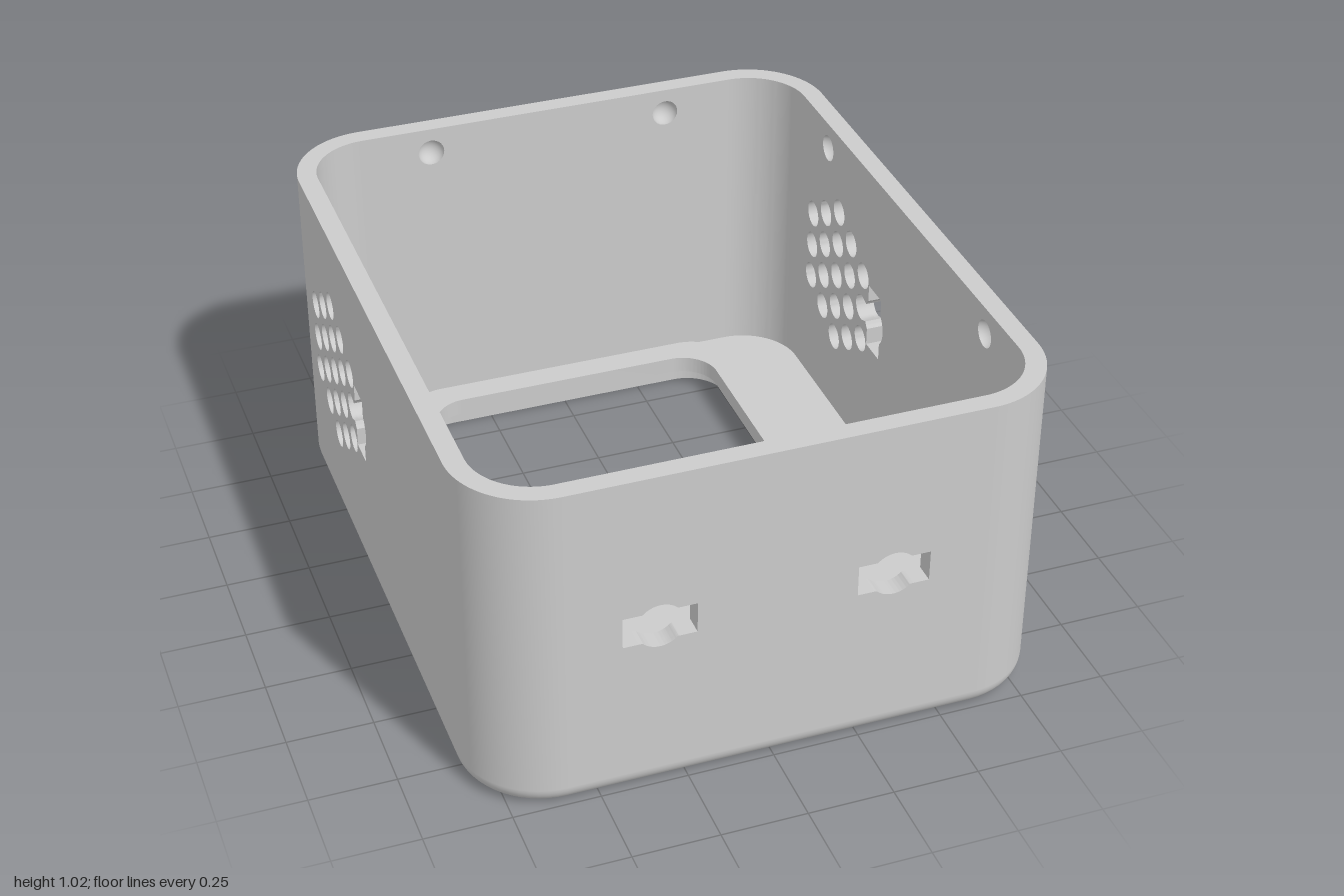
import * as THREE from 'three';
import { toCreasedNormals } from 'three/addons/utils/BufferGeometryUtils.js';

const HX = 0.833, HZ = 1, H = 1.02;   // half width, half length, height
const T = 0.058, R = 0.24;            // wall thickness, outer corner radius
const DIMPLE = 0.041, SKIN = 0.015;   // dimple radius, wall left behind it
const DIMPLE_Y = 0.94, PORT_Y = 0.542; // heights of the dimples and side openings

const mat = new THREE.MeshStandardMaterial({ color: 0xcccccc });
const inside = new THREE.MeshStandardMaterial({ color: 0xcccccc, side: THREE.BackSide });

function add(parent, name, geo, material = mat) {
  const mesh = new THREE.Mesh(geo, material);
  mesh.name = name;
  parent.add(mesh);
}

function extrude(shape, depth) {
  const geo = new THREE.ExtrudeGeometry(shape, { depth, bevelEnabled: false, curveSegments: 14 });
  return toCreasedNormals(geo, 0.6);
}

// Horizontal slab: shape x, y become world x, z
const slab = (shape, y0, y1) => extrude(shape, y1 - y0).rotateX(Math.PI / 2).translate(0, y1, 0);

function rounded(x0, y0, x1, y1, r) {
  const s = new THREE.Shape();
  s.absarc(x1 - r, y1 - r, r, 0, Math.PI / 2);
  s.absarc(x0 + r, y1 - r, r, Math.PI / 2, Math.PI);
  s.absarc(x0 + r, y0 + r, r, Math.PI, Math.PI * 1.5);
  s.absarc(x1 - r, y0 + r, r, Math.PI * 1.5, Math.PI * 2);
  s.closePath();
  return s;
}

function rect(x0, y0, x1, y1) {
  return new THREE.Shape([[x0, y0], [x1, y0], [x1, y1], [x0, y1]].map(p => new THREE.Vector2(...p)));
}

function circle(x, y, r) {
  const s = new THREE.Shape();
  s.absarc(x, y, r, 0, Math.PI * 2);
  return s;
}

// Rectangle joined with a round bulge, and optionally a small hole beside it
function socket(cx, cy, hw, hh, side = 0) {
  const pts = [], n = 144, d = 0.093, r = 0.042;
  const angles = Array.from({ length: n }, (_, i) => (i / n) * Math.PI * 2);
  const c = Math.atan2(hh, hw);
  angles.push(c, Math.PI - c, Math.PI + c, Math.PI * 2 - c);
  angles.sort((a, b) => a - b);
  for (const a of angles) {
    const ca = Math.cos(a), sa = Math.sin(a);
    let len = Math.max(0.068, Math.min(hw / Math.max(Math.abs(ca), 1e-6), hh / Math.max(Math.abs(sa), 1e-6)));
    const along = d * side * ca, disc = r * r - d * d * sa * sa;
    if (side && along > 0 && disc > 0) len = Math.max(len, along + Math.sqrt(disc));
    pts.push(new THREE.Vector2(cx + ca * len, cy + sa * len));
  }
  return new THREE.Shape(pts);
}

// Hexagonal speaker grille plus the socket that merges with its middle edge hole
function grille(side) {
  const holes = [socket(side * 0.165, PORT_Y, 0.046, 0.105, side)];
  for (let col = -2; col <= 2; col++) {
    const n = 5 - Math.abs(col);
    for (let i = 0; i < n; i++) {
      if (col === -2 && i === 1) continue;
      holes.push(circle(side * (0.457 + col * 0.0995), PORT_Y + (i - (n - 1) / 2) * 0.113, 0.0415));
    }
  }
  return holes;
}

// Flat wall: outer skin and inner layer, the inner one with blind round dimples
function wall(name, half, dist, dimpleX, holes, angle) {
  const g = new THREE.Group();
  g.name = name;
  const dimples = [-dimpleX, dimpleX];
  const outer = rect(-half, T, half, H), inner = rect(-half, T, half, H);
  outer.holes.push(...holes);
  inner.holes.push(...holes, ...dimples.map(x => circle(x, DIMPLE_Y, DIMPLE)));
  add(g, 'outerSkin', extrude(outer, SKIN).translate(0, 0, dist - SKIN));
  add(g, 'innerLayer', extrude(inner, T - SKIN).translate(0, 0, dist - T));
  for (const x of dimples) {
    const bowl = new THREE.SphereGeometry(DIMPLE, 20, 8, 0, Math.PI * 2, 0, Math.PI / 2);
    add(g, 'dimple', bowl.rotateX(Math.PI / 2).translate(x, DIMPLE_Y, dist - T), inside);
  }
  g.rotation.y = angle;
  return g;
}

// Rounded lower edge: a quarter circle carried round the outline
function bottomEdge() {
  const pos = [], nor = [], idx = [], A = 14, B = 8;
  for (let q = 0; q < 4; q++) for (let i = 0; i <= A; i++) {
    const a = (q + i / A) * Math.PI / 2, ca = Math.cos(a), sa = Math.sin(a);
    const cx = (q === 0 || q === 3 ? 1 : -1) * (HX - R), cz = (q < 2 ? 1 : -1) * (HZ - R);
    for (let j = 0; j <= B; j++) {
      const p = (j / B) * Math.PI / 2, rad = R - T + T * Math.cos(p);
      pos.push(cx + ca * rad, T - T * Math.sin(p), cz + sa * rad);
      nor.push(ca * Math.cos(p), -Math.sin(p), sa * Math.cos(p));
    }
  }
  const rows = 4 * (A + 1), w = B + 1;
  for (let i = 0; i < rows; i++) for (let j = 0; j < B; j++) {
    const a = i * w + j, b = ((i + 1) % rows) * w + j;
    idx.push(a, b, a + 1, b, b + 1, a + 1);
  }
  const geo = new THREE.BufferGeometry();
  geo.setAttribute('position', new THREE.Float32BufferAttribute(pos, 3));
  geo.setAttribute('normal', new THREE.Float32BufferAttribute(nor, 3));
  geo.setIndex(idx);
  return geo;
}

export function createModel() {
  const model = new THREE.Group();
  model.name = 'enclosure';

  // Window outline, grown outwards by g
  const windowShape = g => rounded(-0.468 - g, -0.802 - g, 0.468 + g, -0.074 + g, 0.115 + g * 0.4);

  // Floor with window recess, slots and screw holes
  const floor = rounded(-HX + T, -HZ + T, HX - T, HZ - T, R - T);
  floor.holes.push(windowShape(0.04), rect(-0.168, 0.092, 0.455, 0.155), rect(-0.093, 0.869, 0.091, 0.931));
  for (const [x, z] of [[-0.418, 0.25], [-0.438, 0.501], [-0.105, 0.522], [0.415, 0.501],
    [-0.231, 0.772], [0.311, 0.835], [0.498, 0.835]]) floor.holes.push(circle(x, z, 0.034));
  add(model, 'floor', slab(floor, 0, T));
  add(model, 'bottomEdge', bottomEdge());

  // Raised window frame, overhanging the floor opening as a ledge
  const frame = windowShape(0.083);
  frame.holes.push(windowShape(0));
  add(model, 'windowFrame', slab(frame, T, 0.11));

  // Four walls
  const sockets = [-1, 1].map(s => socket(s * 0.332, PORT_Y, 0.104, 0.047));
  model.add(wall('frontWall', HX - R, HZ, 0.38, sockets, 0));
  model.add(wall('backWall', HX - R, HZ, 0.38, [], Math.PI));
  model.add(wall('leftWall', HZ - R, HX, 0.56, grille(1), Math.PI / 2));
  model.add(wall('rightWall', HZ - R, HX, 0.56, grille(-1), -Math.PI / 2));

  // Rounded corner posts
  for (let q = 0; q < 4; q++) {
    const cx = (q === 0 || q === 3 ? 1 : -1) * (HX - R), cz = (q < 2 ? 1 : -1) * (HZ - R);
    const a0 = q * Math.PI / 2, a1 = a0 + Math.PI / 2;
    const s = new THREE.Shape();
    s.absarc(cx, cz, R, a0, a1, false);
    s.absarc(cx, cz, R - T, a1, a0, true);
    s.closePath();
    add(model, 'cornerWall', slab(s, T, H));
  }
  return model;
}
